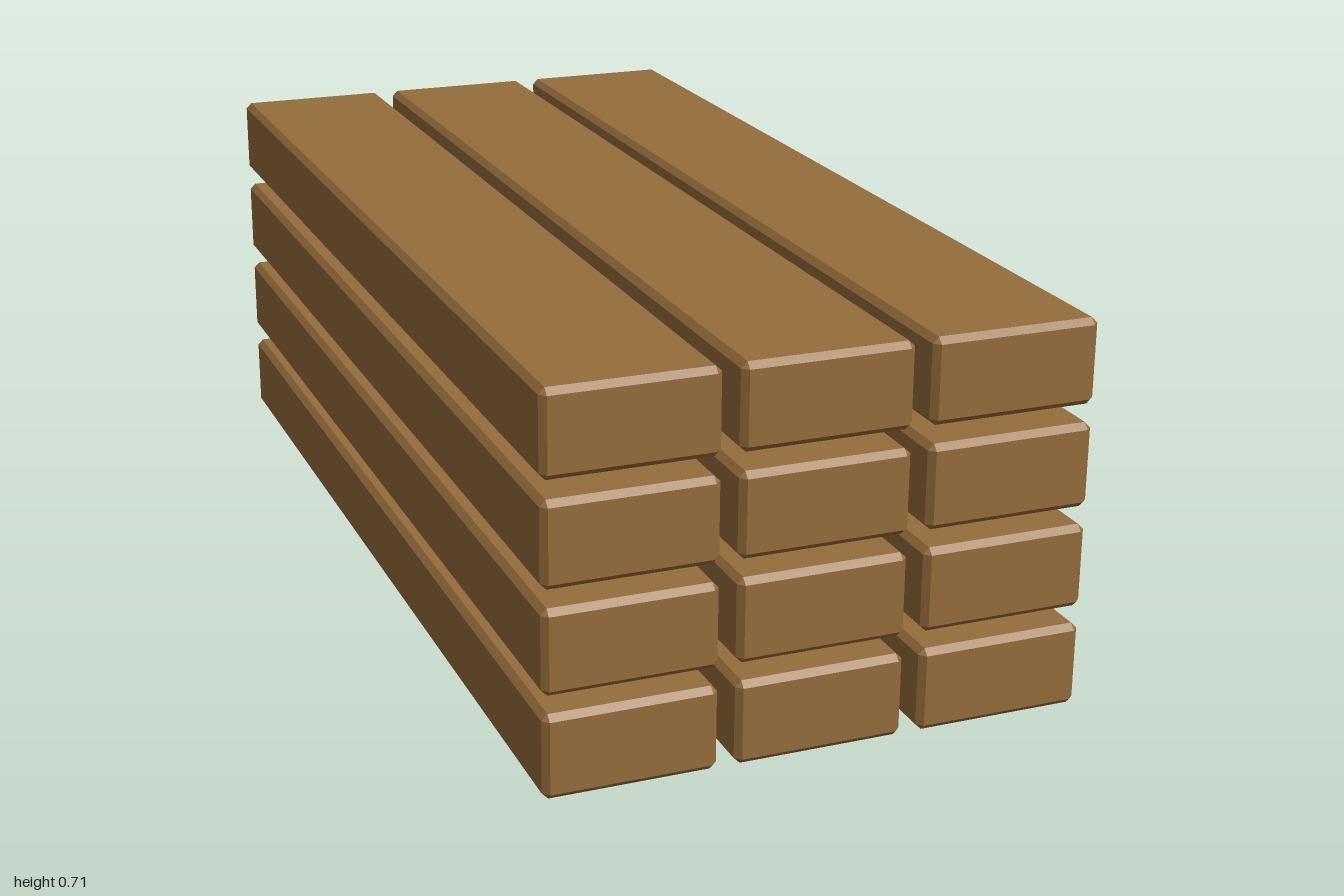
import * as THREE from 'three';
import { ConvexGeometry } from 'three/addons/geometries/ConvexGeometry.js';

// Box with flat chamfers on every edge: three corner points per corner
function chamferedBox(w, h, d, c) {
  const points = [];
  for (const sx of [-1, 1]) for (const sy of [-1, 1]) for (const sz of [-1, 1]) {
    const x = w / 2, y = h / 2, z = d / 2;
    points.push(
      new THREE.Vector3(sx * x, sy * (y - c), sz * (z - c)),
      new THREE.Vector3(sx * (x - c), sy * y, sz * (z - c)),
      new THREE.Vector3(sx * (x - c), sy * (y - c), sz * z)
    );
  }
  return new ConvexGeometry(points);
}

export function createModel() {
  const group = new THREE.Group();
  group.name = 'beamStack';

  const wood = new THREE.MeshStandardMaterial({ color: 0x956d3b });
  wood.name = 'wood';

  const width = 0.306, height = 0.153, length = 2;
  const pitchX = 0.338, pitchY = 0.1857;
  const beamGeometry = chamferedBox(width, height, length, 0.011);

  // Four layers of three parallel beams, with gaps between them
  for (let row = 0; row < 4; row++) {
    const layer = new THREE.Group();
    layer.name = `layer${row + 1}`;
    layer.position.y = height / 2 + row * pitchY;
    for (let col = -1; col <= 1; col++) {
      const beam = new THREE.Mesh(beamGeometry, wood);
      beam.name = ['rightBeam', 'middleBeam', 'leftBeam'][col + 1];
      beam.position.x = col * pitchX;
      layer.add(beam);
    }
    group.add(layer);
  }
  return group;
}
